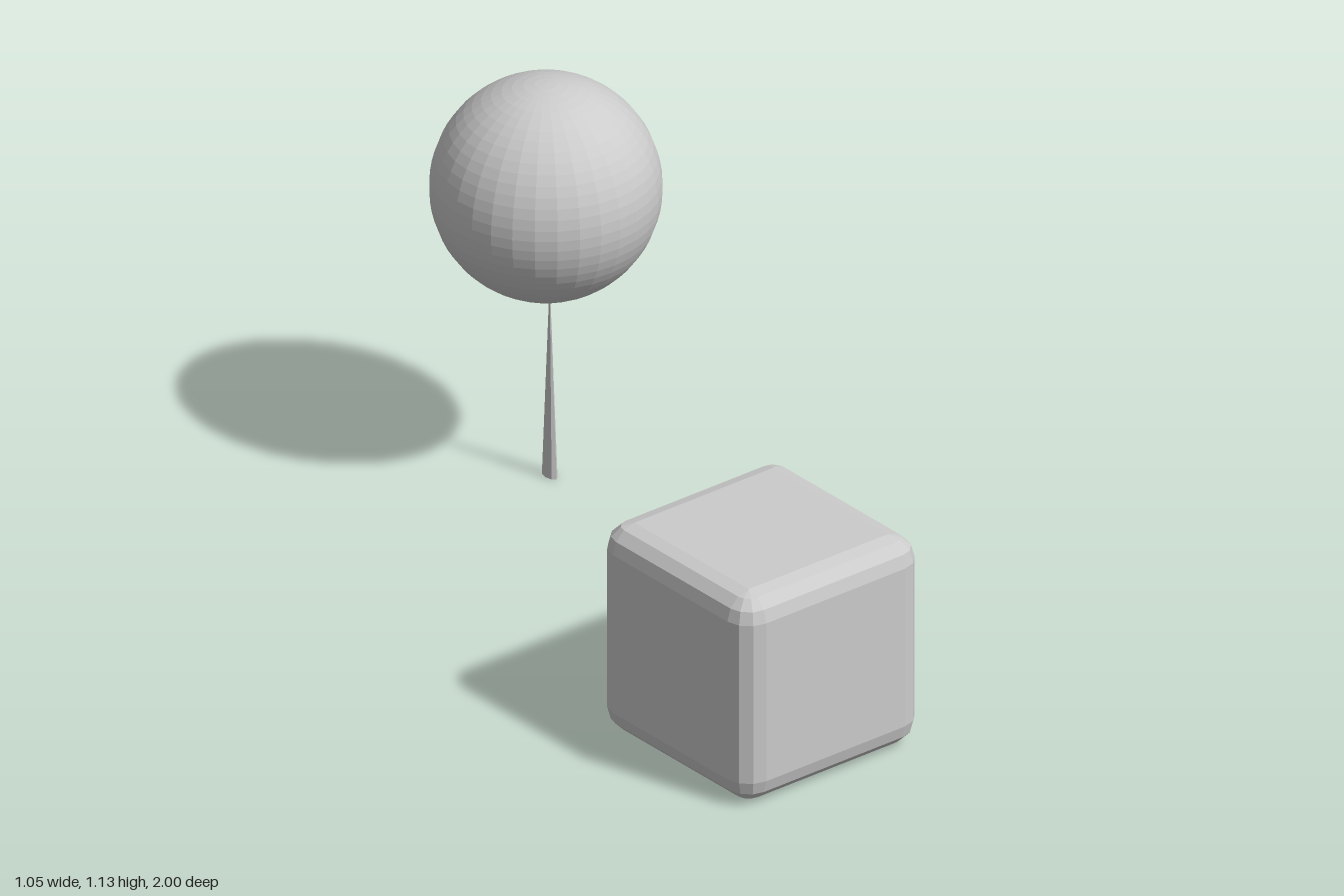
import * as THREE from 'three';

const material = new THREE.MeshStandardMaterial({ color: 0xcccccc, flatShading: true });

function addPart(group, name, geometry, x, y, z) {
  const mesh = new THREE.Mesh(geometry, material);
  mesh.name = name;
  mesh.position.set(x, y, z);
  group.add(mesh);
  return mesh;
}

// Cube with rounded edges: a sphere grid whose octants are pushed apart,
// with an extra row at each end closing the top and bottom.
function roundedCube(size, radius, steps) {
  const n = steps + 1;
  const columns = 4 * n;
  const rows = 2 * n + 1;
  const inner = size / 2 - radius;
  const geometry = new THREE.PlaneGeometry(1, 1, columns, rows);
  const position = geometry.attributes.position;
  for (let i = 0; i < position.count; i++) {
    const column = (i % (columns + 1)) % columns;
    const row = Math.floor(i / (columns + 1));
    if (row === 0 || row === rows) {
      position.setXYZ(i, 0, row === 0 ? size / 2 : -size / 2, 0);
      continue;
    }
    const quadrant = Math.floor(column / n);
    const half = Math.floor((row - 1) / n);
    const around = (quadrant + (column % n) / steps) * Math.PI / 2;
    const down = (half + ((row - 1) % n) / steps) * Math.PI / 2;
    const middle = (quadrant + 0.5) * Math.PI / 2;
    position.setXYZ(
      i,
      Math.sign(Math.sin(middle)) * inner + radius * Math.sin(down) * Math.sin(around),
      (half === 0 ? inner : -inner) + radius * Math.cos(down),
      Math.sign(Math.cos(middle)) * inner + radius * Math.sin(down) * Math.cos(around)
    );
  }
  geometry.computeVertexNormals();
  return geometry;
}

export function createModel() {
  const model = new THREE.Group();
  model.name = 'cubeAndBall';

  // Rounded cube at the front
  addPart(model, 'roundedCube', roundedCube(0.596, 0.07, 3), -0.227, 0.3, 0.702);

  // Ball at the back
  addPart(model, 'ball', new THREE.SphereGeometry(0.297, 32, 32), 0.225, 0.838, -0.703);

  // Thin flattened spike beneath the ball
  const spike = addPart(model, 'spike', new THREE.ConeGeometry(0.0275, 0.57, 8), 0.235, 0.285, -0.7);
  spike.scale.x = 0.5;

  return model;
}
